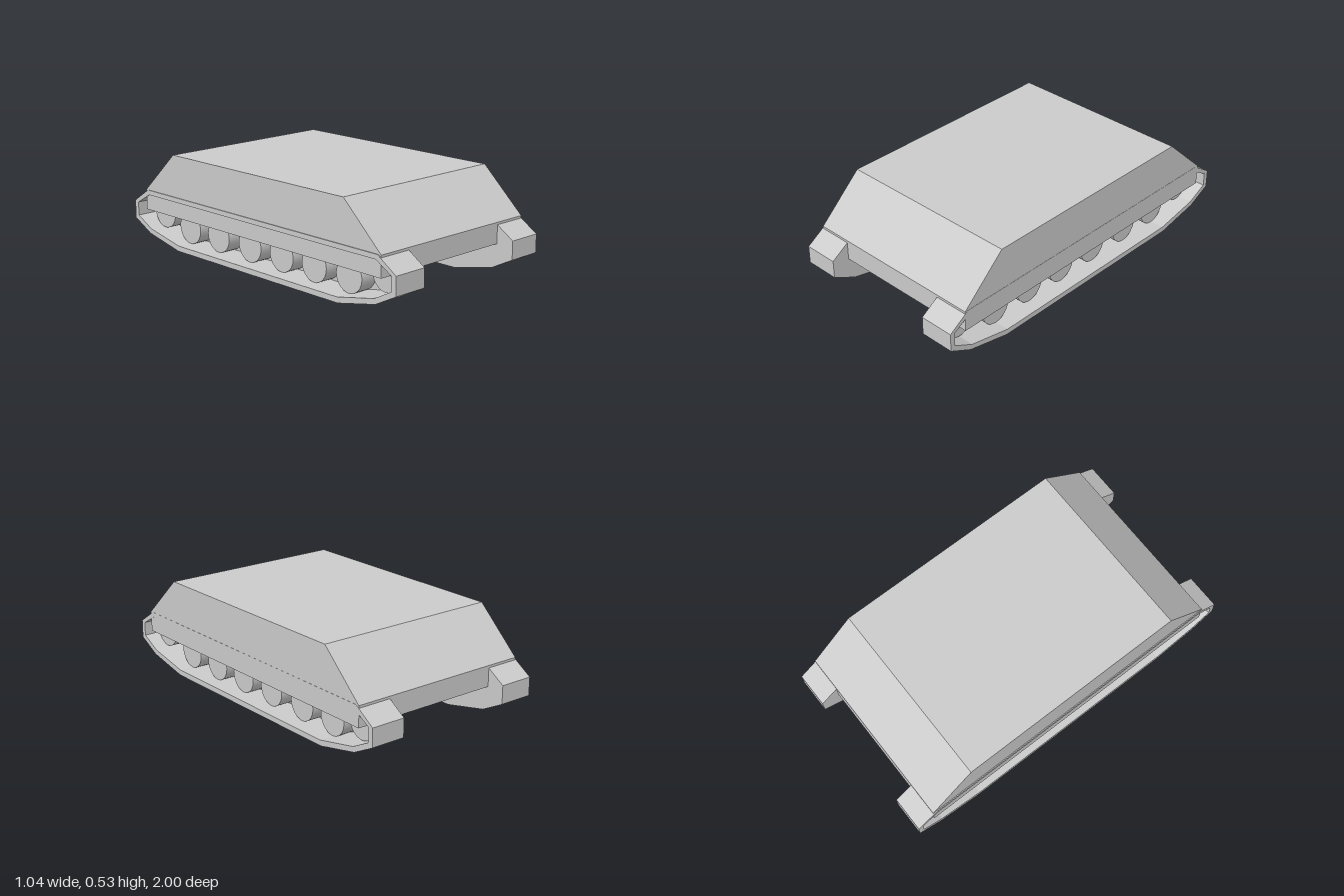
import * as THREE from 'three';

const material = new THREE.MeshStandardMaterial({ color: 0xcccccc, flatShading: true });
const smooth = new THREE.MeshStandardMaterial({ color: 0xcccccc });

const points = (list) => list.map(([z, y]) => new THREE.Vector2(z, y));

// Extrude a side profile of [z, y] points from x0 to x1
function sideExtrude(name, profile, x0, x1, hole) {
  const shape = new THREE.Shape(points(profile));
  if (hole) shape.holes.push(new THREE.Path(points(hole)));
  const geometry = new THREE.ExtrudeGeometry(shape, { depth: x1 - x0, bevelEnabled: false });
  geometry.rotateY(-Math.PI / 2).translate(x1, 0, 0);
  const mesh = new THREE.Mesh(geometry, material);
  mesh.name = name;
  return mesh;
}

// Complete a half profile (bottom to top at +z) with its mirror at -z
const mirrored = (half) => [...half, ...half.map(([z, y]) => [-z, y]).reverse()];

const HULL = mirrored([[0.9, 0.185], [0.9, 0.298], [0.65, 0.53]]);
const BELT_OUTER = mirrored([[0.62, 0], [0.87, 0.053], [1, 0.12], [1, 0.22], [0.88, 0.298]]);
const BELT_INNER = mirrored([[0.615, 0.03], [0.86, 0.08], [0.972, 0.138], [0.972, 0.213], [0.87, 0.272]]);

// Wheel centres as [z, y]: two raised end wheels and six road wheels
const WHEELS = [
  [0.862, 0.178], [0.615, 0.118], [0.37, 0.118], [0.13, 0.118],
  [-0.115, 0.118], [-0.37, 0.118], [-0.61, 0.118], [-0.83, 0.168],
];

// One track: hollow belt, closed inner wall and wheels
function createTrack(name, side, inner, outer) {
  const track = new THREE.Group();
  track.name = name;
  const span = (a, b) => (side > 0 ? [a, b] : [-b, -a]);

  track.add(sideExtrude('trackBelt', BELT_OUTER, ...span(inner, outer), BELT_INNER));
  track.add(sideExtrude('trackInnerWall', BELT_INNER, ...span(inner, inner + 0.02)));

  const wheelIn = inner + 0.02;
  const wheelOut = outer - 0.08;
  const wheelGeometry = new THREE.CylinderGeometry(0.088, 0.088, wheelOut - wheelIn, 32);
  wheelGeometry.rotateZ(Math.PI / 2);
  WHEELS.forEach(([z, y], i) => {
    const wheel = new THREE.Mesh(wheelGeometry, smooth);
    wheel.name = i === 0 || i === WHEELS.length - 1 ? 'endWheel' : 'roadWheel';
    wheel.position.set(side * (wheelIn + wheelOut) / 2, y, z);
    track.add(wheel);
  });
  return track;
}

export function createModel() {
  const model = new THREE.Group();
  model.name = 'trackedHull';

  // Full-width hull with sloped ends
  model.add(sideExtrude('hull', HULL, -0.519, 0.519));

  // Tracks
  model.add(createTrack('leftTrack', 1, 0.327, 0.52));
  model.add(createTrack('rightTrack', -1, 0.33, 0.524));

  return model;
}
